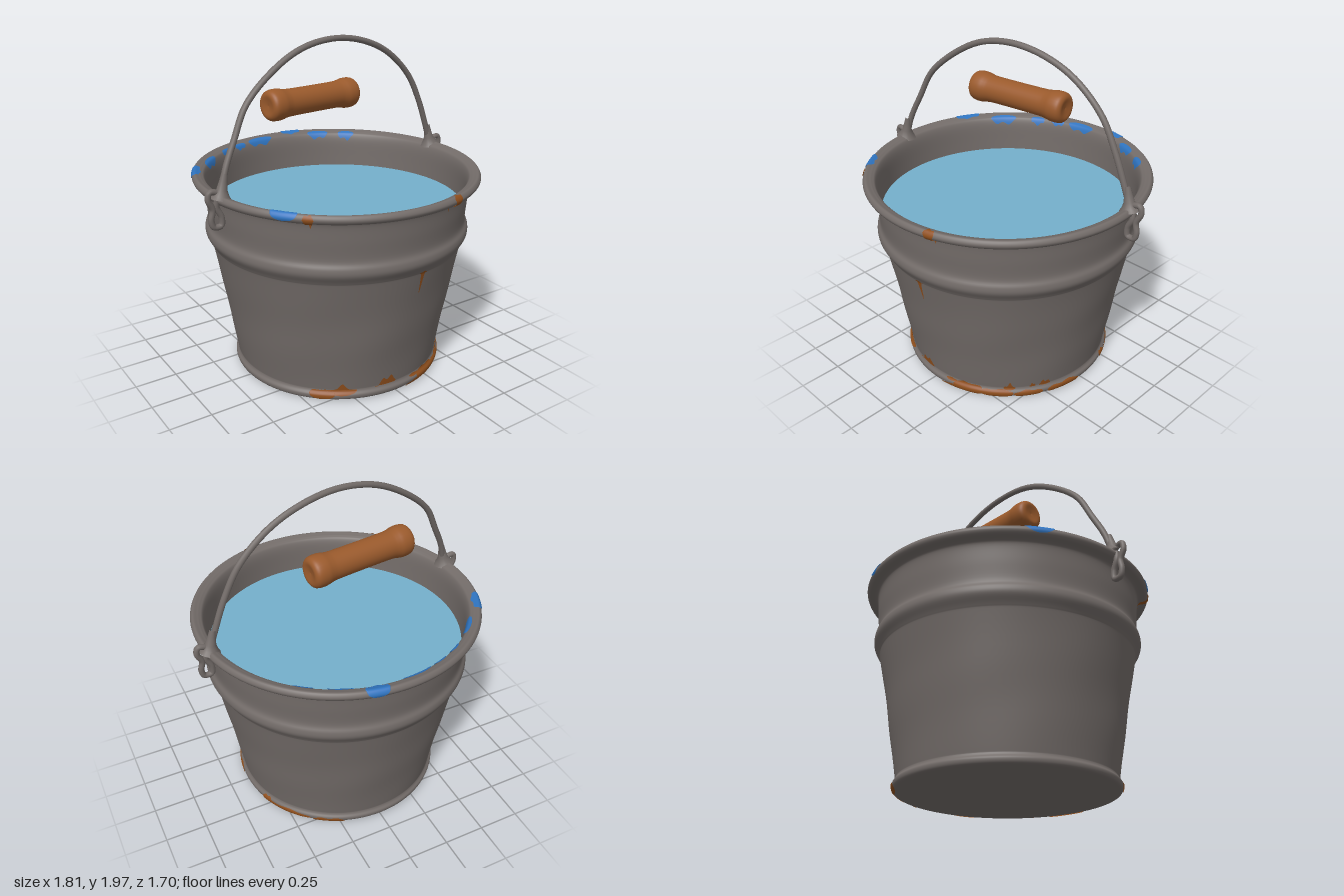
import * as THREE from 'three';
import { mergeVertices } from 'three/addons/utils/BufferGeometryUtils.js';

const mat = (name, color, side = THREE.FrontSide) => {
  const m = new THREE.MeshStandardMaterial({ color, side });
  m.name = name;
  return m;
};

// Pail wall section (radius, height): up the outside, over the rolled rim, down the inside
const section = new THREE.SplineCurve([
  [0.600, 0.013], [0.630, 0.022], [0.637, 0.048], [0.622, 0.072], [0.626, 0.11], [0.662, 0.32],
  [0.702, 0.55], [0.745, 0.77], [0.757, 0.81], [0.785, 0.86], [0.785, 0.90], [0.768, 0.945],
  [0.775, 1.05], [0.782, 1.145], [0.800, 1.168], [0.835, 1.175], [0.850, 1.200], [0.835, 1.224],
  [0.810, 1.218], [0.795, 1.212], [0.778, 1.198], [0.765, 1.15], [0.757, 1.05], [0.750, 0.96],
].map(([r, y]) => new THREE.Vector2(r, y)));
const LAST = section.points.length - 1;

// Point on the pail at angle phi (0 = front) and section index k, lifted off the wall
function pailPoint(phi, k, lift) {
  const p = section.getPoint(k / LAST);
  const t = section.getTangent(k / LAST);
  const wall = Math.sin(Math.PI * Math.min(1, p.y / 0.8));
  const dent = k < 8 ? 0.004 * wall * Math.sin(3 * phi + 6 * p.y) * Math.sin(5 * phi - 9 * p.y) : 0;
  const r = p.x + t.y * lift + dent;
  const y = p.y - t.x * lift - 0.010 * Math.cos(phi) * p.y / 1.2;
  return [r * Math.sin(phi), y, r * Math.cos(phi)];
}

// Grid over the pail wall; range(u) gives the lowest and highest section index at u = -1..1
function pailSurface(phi, half, range, cols, rows, lift = 0) {
  const pos = [], idx = [];
  for (let i = 0; i <= cols; i++) {
    const u = 2 * i / cols - 1;
    const [lo, hi] = range(u);
    for (let j = 0; j <= rows; j++) pos.push(...pailPoint(phi + u * half, lo + (hi - lo) * j / rows, lift));
  }
  for (let i = 0; i < cols; i++) for (let j = 0; j < rows; j++) {
    const a = i * (rows + 1) + j, b = a + rows + 1;
    idx.push(a, b, a + 1, b + 1, a + 1, b);
  }
  const g = new THREE.BufferGeometry();
  g.setAttribute('position', new THREE.Float32BufferAttribute(pos, 3));
  g.setIndex(idx);
  const merged = mergeVertices(g, 1e-5);
  merged.computeVertexNormals();
  return merged;
}

// Ragged blob between section indices lo and hi; power > 1 makes the lower side a narrow drip
function patchGeometry([phi, half, lo, hi, power = 0.5]) {
  const mid = power > 1 ? hi - (hi - lo) * 0.25 : (lo + hi) / 2;
  const range = u => {
    const s = Math.max(0, 1 - u * u), wob = 0.82 + 0.18 * Math.sin(6 * u + phi * 9);
    return [mid - (mid - lo) * Math.pow(s, power), mid + (hi - mid) * Math.sqrt(s) * wob];
  };
  return pailSurface(phi, half, range, 24, Math.max(8, Math.ceil((hi - lo) * 5)), 0.004);
}

const tube = (pts, radius, segs) => new THREE.TubeGeometry(
  new THREE.CatmullRomCurve3(pts.map(p => new THREE.Vector3(...p))), segs, radius, 10);

export function createModel() {
  const metal = mat('grey metal', 0x736c69);
  const water = mat('water blue', 0x74afcb);
  const wood = mat('brown wood', 0x9a5a2c);
  const rust = mat('orange rust', 0x8f4f1d, THREE.DoubleSide);
  const paint = mat('blue paint', 0x2f74c0, THREE.DoubleSide);

  const model = new THREE.Group();
  model.name = 'pail';
  const add = (name, geometry, material, parent = model) => {
    const m = new THREE.Mesh(geometry, material);
    m.name = name;
    parent.add(m);
    return m;
  };

  // Body, bottom and water
  add('pailWall', pailSurface(0, Math.PI, () => [0, LAST], 128, LAST * 5), metal);
  const bottom = add('pailBottom', new THREE.CircleGeometry(0.604, 96), metal);
  bottom.rotation.x = Math.PI / 2;
  bottom.position.y = 0.013;
  const surface = add('waterSurface', new THREE.CircleGeometry(0.757, 96), water);
  surface.rotation.x = -Math.PI / 2;
  surface.position.y = 1.0;

  // Rust: [angle, half width, low index, high index, drip power]
  const rustPatches = [
    [-0.72, 0.12, 1.2, 3.6], [-0.54, 0.14, 2, 4.08], [-0.10, 0.09, 3.2, 4.2], [-0.21, 0.03, 3.1, 3.6],
    [0.40, 0.15, 0.6, 3.8], [0.80, 0.06, 2.6, 4.1], [0.68, 0.16, 1, 3], [0.22, 0.06, 2.4, 3.2],
    [1.02, 0.03, 3.2, 4], [1.14, 0.06, 3.1, 4.1], [1.34, 0.18, 0.8, 2.6], [0.30, 0.2, 0.5, 2],
    [0.98, 0.14, 1, 2.6], [1.95, 0.06, 1, 2.8], [2.2, 0.25, 1.2, 2.3], [2.62, 0.16, 0.5, 2.2],
    [0.08, 0.04, 6.5, 8.2, 4], [-0.76, 0.035, 12.8, 17, 2], [0.285, 0.04, 12.7, 17.6, 2],
  ];
  rustPatches.forEach(p => add('rustPatch', patchGeometry(p), rust));

  // Chipped paint on the rim, outside and inside
  const paintChips = [
    [-2.02, 0.10, 15.5, 19], [2.95, 0.08, 15.5, 19.4], [-0.915, 0.09, 15.5, 18.6],
    [-2.32, 0.11, 18.6, 20.9], [-2.62, 0.06, 19, 20.8], [-3.02, 0.12, 18.4, 20.8],
    [-2.8, 0.06, 19, 20.6], [2.72, 0.09, 18.4, 20.8], [2.47, 0.07, 18.6, 20.9],
  ];
  paintChips.forEach(p => add('paintChip', patchGeometry(p), paint));

  // Bail wire
  add('bailWire', tube([
    [-0.81, 1.19, 0.115], [-0.775, 1.34, 0.095], [-0.70, 1.50, 0.07], [-0.61, 1.67, 0.045],
    [-0.42, 1.83, 0.01], [-0.22, 1.93, -0.015], [0, 1.965, -0.035], [0.22, 1.935, -0.06],
    [0.42, 1.85, -0.08], [0.60, 1.69, -0.095], [0.70, 1.51, -0.10], [0.775, 1.32, -0.108],
    [0.82, 1.19, -0.115],
  ], 0.018, 90), metal);

  // Bail end with lug and hanging hook, repeated by a half turn
  for (const turn of [0, Math.PI]) {
    const end = new THREE.Group();
    end.name = turn ? 'rightBailEnd' : 'leftBailEnd';
    end.rotation.y = turn;
    model.add(end);
    const lug = [[0.062, 0], [0.045, 0.02], [0.03, 0.05], [0.022, 0.1], [0.017, 0.14]];
    const foot = add('lug', new THREE.LatheGeometry(lug.map(p => new THREE.Vector2(...p)), 16), metal, end);
    foot.position.set(0.815, 1.205, -0.112);
    foot.rotation.z = 0.22;
    add('hook', tube([
      [0.80, 1.215, -0.112], [0.84, 1.245, -0.112], [0.878, 1.25, -0.112], [0.888, 1.21, -0.112],
      [0.862, 1.15, -0.108], [0.872, 1.09, -0.106], [0.858, 1.05, -0.106], [0.815, 1.052, -0.106],
      [0.812, 1.10, -0.106], [0.838, 1.16, -0.106], [0.835, 1.21, -0.112],
    ], 0.017, 60), metal, end);
  }

  // Wooden grip, turned on a lathe with swollen ends and a dimple in each face
  const halfGrip = [[0, 0.318], [0.03, 0.323], [0.062, 0.328], [0.083, 0.315], [0.091, 0.29],
    [0.091, 0.25], [0.084, 0.215], [0.080, 0.17], [0.079, 0]];
  const gripPoints = [...halfGrip.map(([r, y]) => [r, -y]), ...halfGrip.slice(0, -1).reverse()];
  const gripCurve = new THREE.SplineCurve(gripPoints.map(p => new THREE.Vector2(...p)));
  const gripProfile = gripCurve.getPoints(64);
  gripProfile.forEach(p => { p.x = Math.max(0, p.x); });
  const grip = add('woodenGrip', new THREE.LatheGeometry(gripProfile, 32), wood);
  grip.position.set(-0.067, 1.605, -0.163);
  grip.quaternion.setFromUnitVectors(new THREE.Vector3(0, 1, 0),
    new THREE.Vector3(0.64, -0.005, -0.092).normalize());

  return model;
}
